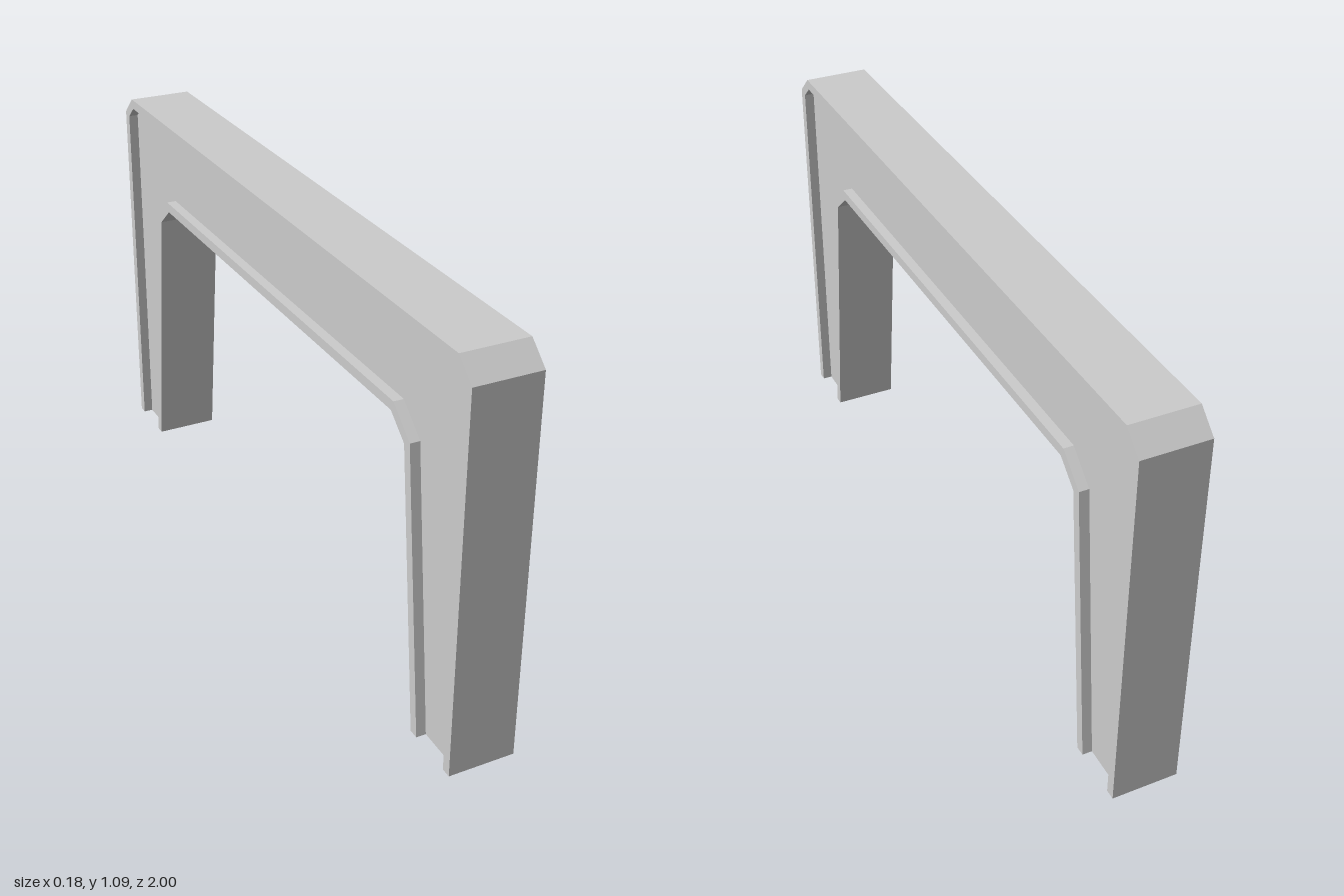
import * as THREE from 'three';

const HALF_FLANGE = 0.09; // half width of the flanges
const HALF_WEB = 0.063;   // half thickness of the recessed web

// Half of the arch, foot to corner, as [z, y] at four levels:
// outer face, outer flange inside, inner flange inside, inner face
const frontStations = [
  [[1, 0], [0.973, 0], [0.847, 0], [0.82, 0]],
  [[1, 1.037], [0.973, 1.029], [0.762, 0.781], [0.737, 0.768]],
  [[0.943, 1.09], [0.935, 1.063], [0.683, 0.85], [0.672, 0.823]],
];

// I-shaped cross-section as [x, level]
const F = HALF_FLANGE, W = HALF_WEB;
const section = [
  [-F, 0], [F, 0], [F, 1], [W, 1], [W, 2], [F, 2],
  [F, 3], [-F, 3], [-F, 2], [-W, 2], [-W, 1], [-F, 1],
];

function createBeamGeometry() {
  // Mirror the stations to the back leg
  const backStations = frontStations.map(s => s.map(([z, y]) => [-z, y])).reverse();
  const rings = [...frontStations, ...backStations].map(station =>
    section.map(([x, level]) => [x, station[level][1], station[level][0]]));

  const positions = [];
  const quad = (a, b, c, d) => positions.push(...a, ...b, ...c, ...a, ...c, ...d);

  // Sides of the I-beam, swept along the arch
  const n = section.length;
  for (let s = 0; s < rings.length - 1; s++) {
    for (let i = 0; i < n; i++) {
      const j = (i + 1) % n;
      quad(rings[s][i], rings[s][j], rings[s + 1][j], rings[s + 1][i]);
    }
  }

  // Undersides of the two feet: outer flange, web, inner flange
  const first = rings[0], last = rings[rings.length - 1];
  for (const [a, b, c, d] of [[0, 1, 2, 11], [10, 3, 4, 9], [8, 5, 6, 7]]) {
    quad(first[d], first[c], first[b], first[a]);
    quad(last[a], last[b], last[c], last[d]);
  }

  const geometry = new THREE.BufferGeometry();
  geometry.setAttribute('position', new THREE.Float32BufferAttribute(positions, 3));
  geometry.computeVertexNormals();
  return geometry;
}

export function createModel() {
  const group = new THREE.Group();
  group.name = 'archFrame';
  const material = new THREE.MeshStandardMaterial({ color: 0xcccccc, flatShading: true });
  const beam = new THREE.Mesh(createBeamGeometry(), material);
  beam.name = 'flangedBeam';
  group.add(beam);
  return group;
}
